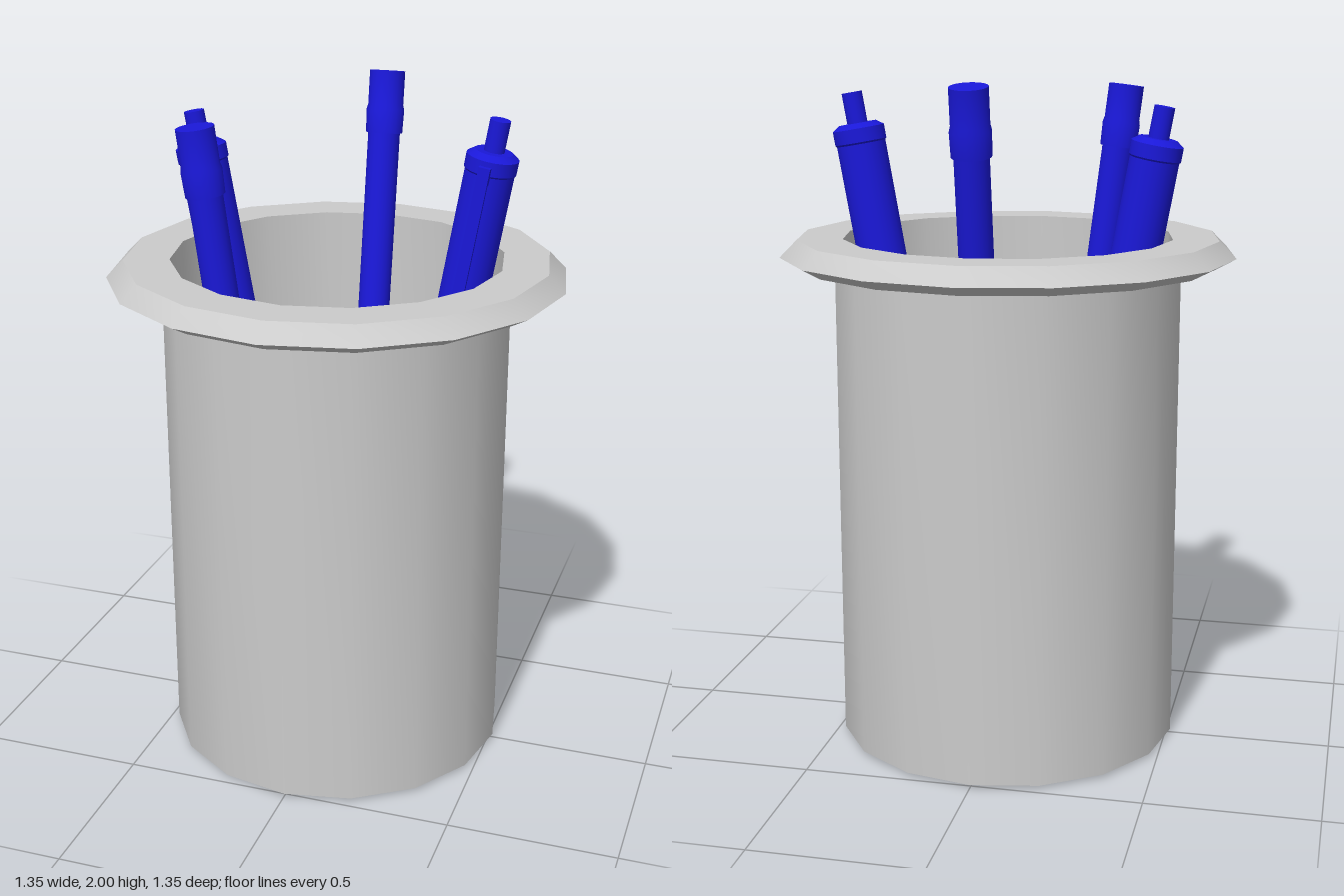
import * as THREE from 'three';
import { toCreasedNormals } from 'three/addons/utils/BufferGeometryUtils.js';

const grey = new THREE.MeshStandardMaterial({ color: 0xcccccc });
const blue = new THREE.MeshStandardMaterial({ color: 0x1a18d8 });

// Turned part: profile of [radius, height] pairs, with sharp edges kept
function turned(name, profile, sides, material) {
  const points = profile.map(([r, y]) => new THREE.Vector2(r, y));
  const geometry = toCreasedNormals(new THREE.LatheGeometry(points, sides), 0.45);
  const mesh = new THREE.Mesh(geometry, material);
  mesh.name = name;
  return mesh;
}

// Stand a pen (built upright, tip at the origin) from its tip towards its top
function lean(pen, tip, top) {
  const start = new THREE.Vector3(...tip);
  const direction = new THREE.Vector3(...top).sub(start).normalize();
  pen.position.copy(start);
  pen.quaternion.setFromUnitVectors(new THREE.Vector3(0, 1, 0), direction);
  return pen;
}

function marker(name) {
  const pen = new THREE.Group();
  pen.name = name;
  pen.add(
    turned('markerTip', [[0, 0], [0.012, 0.01], [0.02, 0.08], [0.035, 0.09], [0.049, 0.18]], 20, blue),
    turned('markerBarrel', [[0.049, 0.18], [0.049, 1.79]], 20, blue),
    turned('markerEnd', [[0.049, 1.79], [0.056, 1.79], [0.058, 1.86], [0.054, 1.875], [0.054, 1.978], [0, 1.978]], 20, blue),
  );
  return pen;
}

function clickPen(name) {
  const pen = new THREE.Group();
  pen.name = name;
  pen.add(
    turned('penTip', [[0, 0], [0.012, 0], [0.016, 0.06], [0.06, 0.36]], 20, blue),
    turned('grip', [[0.06, 0.36], [0.062, 0.82], [0.072, 0.86]], 20, blue),
    turned('penBarrel', [[0.072, 0.86], [0.072, 1.77]], 20, blue),
    turned('collar', [[0.072, 1.77], [0.076, 1.775], [0.076, 1.815], [0.055, 1.83], [0, 1.83]], 20, blue),
    turned('button', [[0.03, 1.82], [0.03, 1.92], [0, 1.92]], 16, blue),
  );
  // Pocket clip: a strip held to the barrel by a short bridge
  const strip = new THREE.Mesh(new THREE.BoxGeometry(0.034, 0.62, 0.012), blue);
  strip.name = 'clip';
  strip.position.set(0, 1.49, 0.086);
  const bridge = new THREE.Mesh(new THREE.BoxGeometry(0.034, 0.05, 0.03), blue);
  bridge.name = 'clipBridge';
  bridge.position.set(0, 1.775, 0.074);
  pen.add(strip, bridge);
  return pen;
}

export function createModel() {
  const model = new THREE.Group();
  model.name = 'penCup';

  // Hollow cup with a flared, bevelled rim
  model.add(turned('cup', [
    [0, 0.01], [0.515, 0.01], [0.515, 1.455], [0.62, 1.455], [0.675, 1.485],
    [0.625, 1.535], [0.49, 1.535], [0.49, 0.04], [0, 0.04],
  ], 16, grey));

  // Pens leaning outwards
  model.add(
    lean(marker('backMarker'), [0, 0.04, -0.15], [0, 1.99, -0.485]),
    lean(marker('frontMarker'), [-0.06, 0, 0.26], [-0.295, 1.96, 0.34]),
    lean(clickPen('rightPen'), [-0.125, 0.03, -0.055], [-0.465, 1.92, -0.055]),
    lean(clickPen('leftPen'), [0.12, 0.06, -0.066], [0.455, 1.95, -0.066]),
  );
  return model;
}
